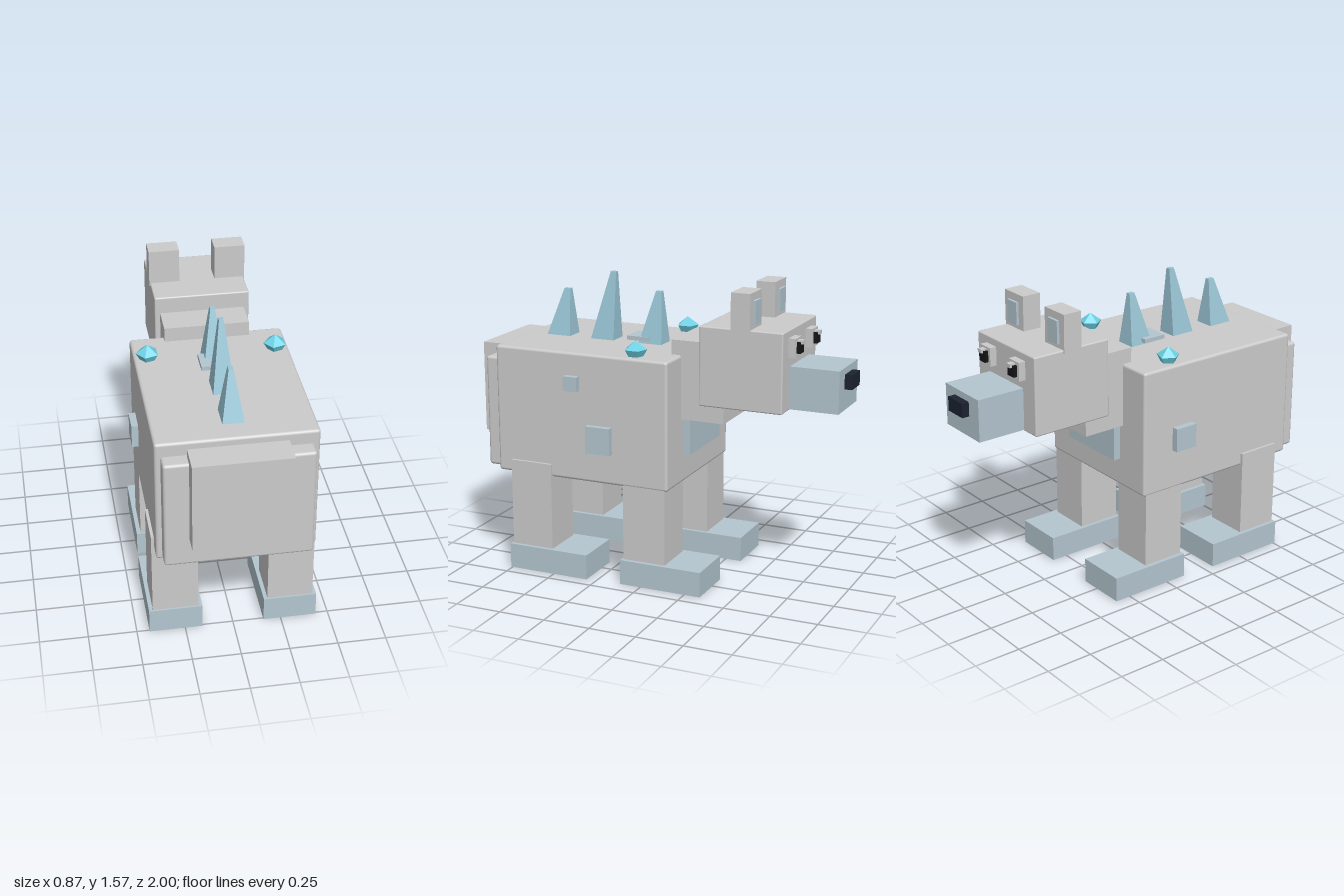
import * as THREE from 'three';
import { RoundedBoxGeometry } from 'three/addons/geometries/RoundedBoxGeometry.js';

const mat = (color) => new THREE.MeshStandardMaterial({ color });
const grey = mat(0xcccccc);
const frost = mat(0xb4c6d0);
const ice = mat(0x9cc8d8);
const dark = mat(0x1c2230);
const black = mat(0x151518);
const cyan = mat(0x6fd3e6);
cyan.flatShading = true;
ice.flatShading = true;

export function createModel() {
  const model = new THREE.Group();
  model.name = 'crystalWolf';

  const add = (name, geometry, material) => {
    const mesh = new THREE.Mesh(geometry, material);
    mesh.name = name;
    model.add(mesh);
    return mesh;
  };
  // Box from its limits on each axis; round > 0 softens the edges
  const box = (name, [x0, x1], [y0, y1], [z0, z1], material = grey, round = 0) => {
    const size = [x1 - x0, y1 - y0, z1 - z0];
    const geometry = round ? new RoundedBoxGeometry(...size, 2, round) : new THREE.BoxGeometry(...size);
    const mesh = add(name, geometry, material);
    mesh.position.set((x0 + x1) / 2, (y0 + y1) / 2, (z0 + z1) / 2);
    return mesh;
  };
  // Mirrored x limits
  const onSide = (s, a, b) => (s > 0 ? [a, b] : [-b, -a]);

  // Torso, rump and tail
  box('body', [-0.4, 0.4], [0.53, 1.21], [-0.145, 0.835], grey, 0.015);
  box('rump', [-0.37, 0.37], [0.543, 1.138], [0.7, 0.913], grey, 0.015);
  box('tail', [-0.245, 0.245], [0.693, 1.18], [0.85, 1]);
  box('chestPlate', [-0.2, 0.2], [0.68, 0.89], [-0.185, -0.13], frost);

  // Neck, head and muzzle
  box('neck', [-0.222, 0.222], [0.873, 1.287], [-0.38, -0.092]);
  box('head', [-0.25, 0.25], [0.963, 1.377], [-0.7, -0.255], grey, 0.008);
  box('muzzle', [-0.147, 0.147], [0.97, 1.19], [-0.96, -0.69], frost);
  box('nose', [-0.062, 0.062], [1.08, 1.155], [-1, -0.955], dark);

  for (const s of [1, -1]) {
    const side = s > 0 ? 'left' : 'right';
    // Ears
    box(side + 'Ear', onSide(s, 0.094, 0.255), [1.36, 1.56], [-0.528, -0.425]);
    box(side + 'InnerEar', onSide(s, 0.135, 0.215), [1.4, 1.52], [-0.542, -0.52], frost);

    // Eyes
    const ex = 0.127 * s;
    box(side + 'EyeSocket', [ex - 0.043, ex + 0.043], [1.24, 1.337], [-0.737, -0.69]);
    box(side + 'Pupil', [ex - 0.026, ex + 0.026], [1.26, 1.318], [-0.757, -0.73], black);
    box(side + 'EyeGlint', [ex - 0.012, ex + 0.02], [1.307, 1.327], [-0.768, -0.735]);

    // Legs and paws
    box(side + 'FrontLeg', onSide(s, 0.165, 0.398), [0.12, 0.6], [-0.13, 0.105]);
    box(side + 'FrontPaw', onSide(s, 0.147, 0.42), [0, 0.133], [-0.337, 0.115], frost);
    box(side + 'HindLeg', onSide(s, 0.18, 0.415), [0.12, 0.6], [0.515, 0.75]);
    box(side + 'HindPaw', onSide(s, 0.16, 0.435), [0, 0.133], [0.305, 0.76], frost);

    // Five-sided shoulder crystals
    const profile = [[0, 1.195], [0.038, 1.205], [0.06, 1.245], [0, 1.29]];
    const crystal = add(
      side + 'Crystal',
      new THREE.LatheGeometry(profile.map(([r, y]) => new THREE.Vector2(r, y)), 5, -Math.PI / 2),
      cyan
    );
    crystal.position.set(0.33 * s, 0, 0.06);
  }

  // Ice patches on flanks and back
  box('upperFlankPatch', [0.39, 0.432], [1.013, 1.09], [0.348, 0.425], frost);
  box('lowerFlankPatch', [0.39, 0.432], [0.695, 0.838], [0.165, 0.302], frost);
  box('rightFlankPatch', [-0.435, -0.39], [0.748, 0.875], [0.04, 0.168], frost);
  box('backPatch', [-0.08, 0.055], [1.222, 1.244], [0.11, 0.24], frost);

  // Back spikes: square tapers whose tips shift towards the head
  const spike = (zBack, zFront, tipBack, tipFront, tipY) => {
    const base = 1.195;
    const geometry = new THREE.BoxGeometry(1, 1, 1).toNonIndexed();
    const p = geometry.attributes.position;
    for (let i = 0; i < p.count; i++) {
      const top = p.getY(i) > 0;
      const back = p.getZ(i) > 0;
      p.setXYZ(
        i,
        Math.sign(p.getX(i)) * (top ? 0.012 : 0.057),
        top ? tipY : base,
        top ? (back ? tipBack : tipFront) : back ? zBack : zFront
      );
    }
    geometry.computeVertexNormals();
    add('backSpike', geometry, ice);
  };
  spike(0.72, 0.578, 0.63, 0.595, 1.46);
  spike(0.457, 0.32, 0.353, 0.322, 1.57);
  spike(0.178, 0.042, 0.092, 0.06, 1.485);

  return model;
}
